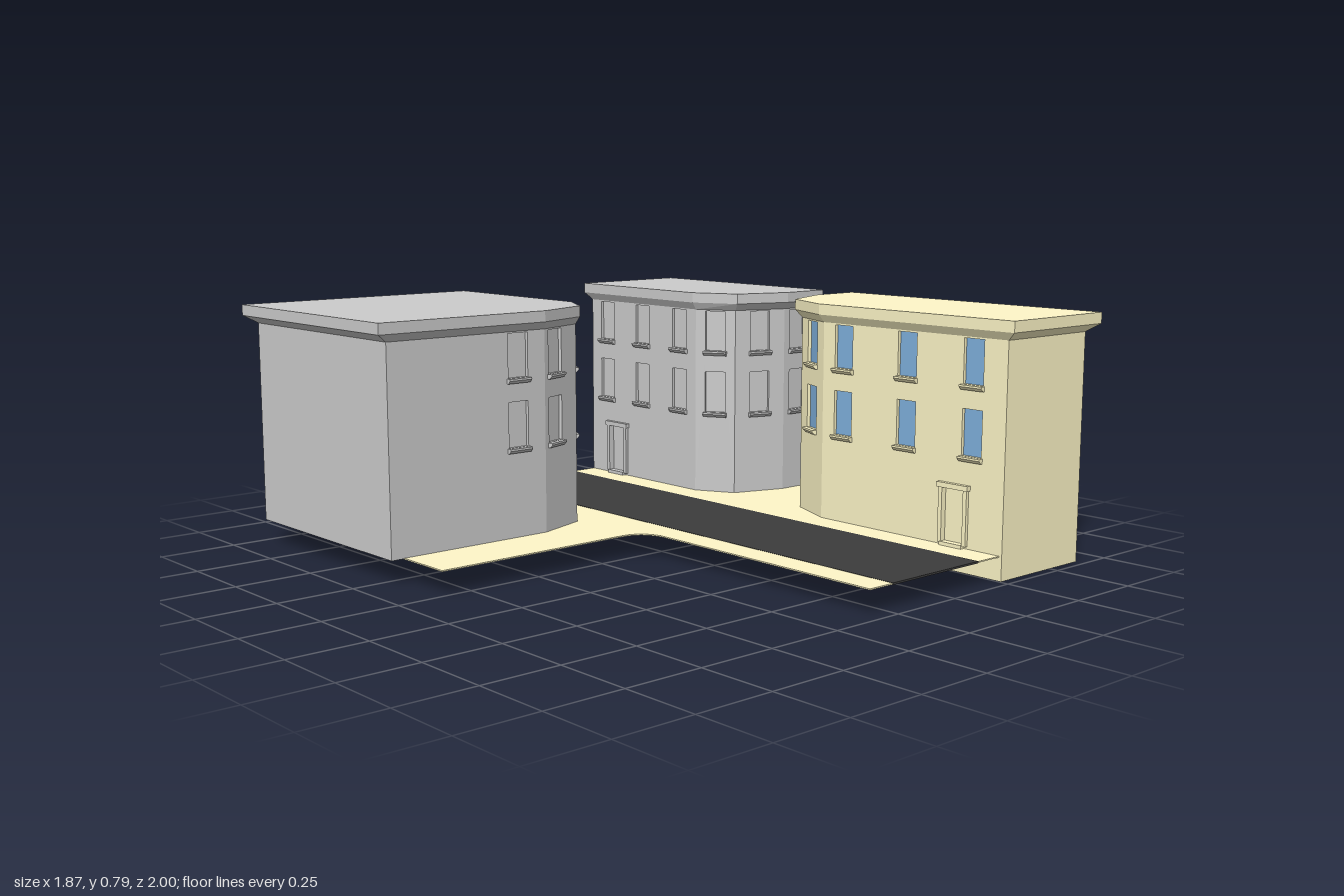
import * as THREE from 'three';

const GREY = new THREE.MeshStandardMaterial({ color: 0xcccccc });
const TAN = new THREE.MeshStandardMaterial({ color: 0xfff7c8 });
const ASPHALT = new THREE.MeshStandardMaterial({ color: 0x3c3c3c });
const GLASS = new THREE.MeshStandardMaterial({ color: 0x7fb0dd });

const WALL_TOP = 0.745, THICK = 0.012;
const WIN_W = 0.075, ROWS = [[0.365, 0.51], [0.585, 0.725]];
const DOOR = { w: 0.085, y0: 0.085, y1: 0.26 };

function add(parent, name, geometry, material) {
  const mesh = new THREE.Mesh(geometry, material);
  mesh.name = name;
  parent.add(mesh);
  return mesh;
}

function box(parent, name, material, w, h, d, x, y, z) {
  add(parent, name, new THREE.BoxGeometry(w, h, d), material).position.set(x, y, z);
}

// Capped solid from matching convex plan outlines, each at its own height
function loft(rings) {
  const pos = [];
  const put = (...pts) => pts.forEach(([r, i]) => pos.push(rings[r].pts[i][0], rings[r].y, rings[r].pts[i][1]));
  const n = rings[0].pts.length, top = rings.length - 1;
  for (let r = 0; r < top; r++) {
    for (let i = 0; i < n; i++) {
      const j = (i + 1) % n;
      put([r, j], [r, i], [r + 1, i], [r, j], [r + 1, i], [r + 1, j]);
    }
  }
  for (let i = 1; i < n - 1; i++) {
    put([0, 0], [0, i], [0, i + 1]);
    put([top, 0], [top, i + 1], [top, i]);
  }
  const g = new THREE.BufferGeometry();
  g.setAttribute('position', new THREE.Float32BufferAttribute(pos, 3));
  g.computeVertexNormals();
  return g;
}

function rectPath(x0, y0, x1, y1, Type) {
  const s = new Type();
  s.moveTo(x0, y0);
  s.lineTo(x1, y0);
  s.lineTo(x1, y1);
  s.lineTo(x0, y1);
  s.closePath();
  return s;
}

// One wall from plan point p to q, pierced by windows and an optional door
function facade(p, q, base, windows, door, mat, glassMat) {
  const g = new THREE.Group();
  g.name = 'facade';
  const dx = q[0] - p[0], dz = q[1] - p[1], len = Math.hypot(dx, dz);
  const along = t => (1 - t) * len;
  const wall = rectPath(0, base, len, WALL_TOP, THREE.Shape);

  const opening = (name, x, w, y0, y1, material) => {
    wall.holes.push(rectPath(x - w / 2, y0, x + w / 2, y1, THREE.Path));
    const pane = add(g, name, new THREE.PlaneGeometry(w, y1 - y0), material);
    pane.position.set(x, (y0 + y1) / 2, -THICK + 0.001);
  };

  for (const t of windows) {
    for (const [y0, y1] of ROWS) {
      opening('windowPane', along(t), WIN_W, y0, y1, glassMat);
      // sill with a sloping underside
      const profile = new THREE.Shape([[0, 0], [0.006, 0], [0.016, 0.01], [0.016, 0.016], [0, 0.016]]
        .map(([a, b]) => new THREE.Vector2(a, b)));
      const sill = new THREE.ExtrudeGeometry(profile, { depth: WIN_W + 0.01, bevelEnabled: false });
      sill.rotateY(-Math.PI / 2);
      add(g, 'windowSill', sill, mat).position.set(along(t) + WIN_W / 2 + 0.005, y0 - 0.017, 0);
    }
  }

  if (door !== undefined) {
    const x = along(door), { w, y0, y1 } = DOOR;
    opening('door', x, w, y0, y1, mat);
    for (const s of [-1, 1]) {
      box(g, 'doorJamb', mat, 0.014, y1 - y0, 0.014, x + s * (w / 2 + 0.005), (y0 + y1) / 2, 0.004);
    }
    box(g, 'doorLintel', mat, w + 0.035, 0.016, 0.02, x, y1 + 0.007, 0.005);
    box(g, 'doorStep', mat, w, 0.022, 0.025, x, 0.078, 0.004);
  }

  const panel = new THREE.ExtrudeGeometry(wall, { depth: THICK, bevelEnabled: false });
  panel.translate(0, 0, -THICK);
  add(g, 'wall', panel, mat);

  // place the flat panel on its plan edge, facing outwards
  const m = new THREE.Matrix4().makeBasis(
    new THREE.Vector3(-dx / len, 0, -dz / len),
    new THREE.Vector3(0, 1, 0),
    new THREE.Vector3(dz / len, 0, -dx / len));
  m.setPosition(q[0], 0, q[1]);
  g.applyMatrix4(m);
  return g;
}

function building({ name, plan, roof, base, windows, doorEdge, door, mat, glass }) {
  const g = new THREE.Group();
  g.name = name;
  plan.forEach((p, i) => {
    const q = plan[(i + 1) % plan.length];
    g.add(facade(p, q, base, windows[i] || [], i === doorEdge ? door : undefined, mat, glass));
  });
  add(g, 'floor', loft([{ pts: plan, y: base }, { pts: plan, y: base + 0.006 }]), mat);
  add(g, 'corniceRoof', loft([
    { pts: plan, y: 0.73 }, { pts: roof, y: 0.755 }, { pts: roof, y: 0.79 },
  ]), mat);
  return g;
}

export function createModel() {
  const model = new THREE.Group();
  model.name = 'streetCorner';

  // Pavement with a rounded inner corner
  const s = new THREE.Shape();
  s.moveTo(-0.85, 0.97);
  s.lineTo(0.89, 0.97);
  s.lineTo(0.89, -0.96);
  s.lineTo(-0.075, -0.96);
  s.lineTo(-0.075, -0.09);
  s.bezierCurveTo(-0.08, -0.04, -0.11, 0, -0.17, 0);
  s.lineTo(-0.85, 0);
  s.closePath();
  const pavement = new THREE.ExtrudeGeometry(s, { depth: 0.004, bevelEnabled: false });
  pavement.rotateX(-Math.PI / 2);
  add(model, 'pavement', pavement, TAN).position.y = 0.0735;
  box(model, 'road', ASPHALT, 0.385, 0.006, 1.932, 0.2125, 0.0755, -0.005);

  // Plans run clockwise seen from above, as [x, z]
  model.add(building({
    name: 'wideCornerBuilding', mat: GREY, glass: GREY, base: 0.076,
    plan: [[-0.895, -0.97], [-0.08, -0.97], [-0.08, -0.385], [-0.142, -0.26], [-0.315, -0.2], [-0.895, -0.2]],
    roof: [[-0.935, -1], [-0.065, -1], [-0.065, -0.38], [-0.14, -0.24], [-0.33, -0.175], [-0.935, -0.175]],
    windows: { 1: [0.155, 0.5, 0.85], 2: [0.5], 3: [0.68], 4: [0.18] },
    doorEdge: 1, door: 0.23,
  }));
  model.add(building({
    name: 'narrowCornerBuilding', mat: GREY, glass: GREY, base: 0.076,
    plan: [[0.505, -0.97], [0.89, -0.97], [0.89, -0.2], [0.76, -0.2], [0.575, -0.26], [0.505, -0.39]],
    roof: [[0.49, -1], [0.93, -1], [0.93, -0.175], [0.75, -0.175], [0.565, -0.24], [0.49, -0.39]],
    windows: { 2: [0.5], 3: [0.5], 4: [0.5], 5: [0.15, 0.5, 0.845] },
    doorEdge: 5, door: 0.74,
  }));
  model.add(building({
    name: 'frontCornerBuilding', mat: TAN, glass: GLASS, base: 0,
    plan: [[0.505, 0.23], [0.575, 0.065], [0.76, 0], [0.89, 0], [0.89, 0.97], [0.505, 0.97]],
    roof: [[0.49, 0.22], [0.565, 0.04], [0.75, -0.035], [0.93, -0.035], [0.93, 1], [0.49, 1]],
    windows: { 0: [0.5], 1: [0.5], 2: [0.5], 5: [0.17, 0.52, 0.88] },
    doorEdge: 5, door: 0.25,
  }));
  return model;
}
